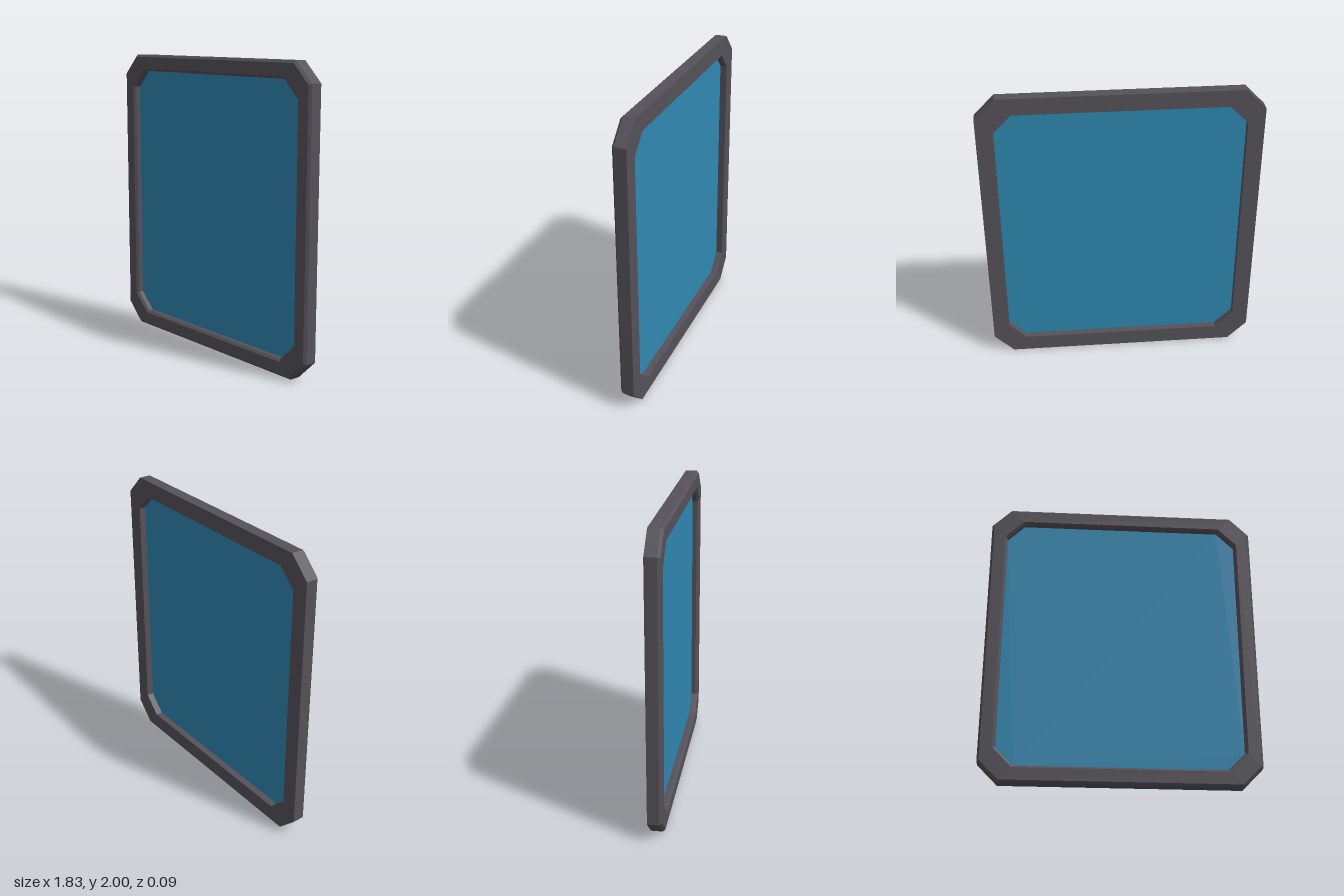
import * as THREE from 'three';

const frameMat = new THREE.MeshStandardMaterial({ color: 0x555159 });
frameMat.name = 'dark grey frame';
const glassMat = new THREE.MeshStandardMaterial({ color: 0x2f88b2, side: THREE.DoubleSide });
glassMat.name = 'blue glass';

// Rectangle with cut corners, counter-clockwise seen from the front
function octagon(hx, hy, cut) {
  const x = hx - cut, y = hy - cut;
  return [[hx, -y], [hx, y], [x, hy], [-x, hy], [-hx, y], [-hx, -y], [-x, -hy], [x, -hy]];
}

// Skins neighbouring rings of a closed section with flat quads
function ringGeometry(section) {
  const rings = section.map(([hx, hy, cut, z]) => octagon(hx, hy, cut).map(([x, y]) => [x, y, z]));
  const positions = [];
  rings.forEach((a, k) => {
    const b = rings[(k + 1) % rings.length];
    for (let i = 0; i < 8; i++) {
      const j = (i + 1) % 8;
      positions.push(...a[i], ...a[j], ...b[j], ...a[i], ...b[j], ...b[i]);
    }
  });
  const geometry = new THREE.BufferGeometry();
  geometry.setAttribute('position', new THREE.Float32BufferAttribute(positions, 3));
  geometry.computeVertexNormals();
  return geometry;
}

export function createModel() {
  const model = new THREE.Group();
  model.name = 'framedWindow';

  // Frame section: half width, half height, corner cut, z
  const frame = new THREE.Mesh(ringGeometry([
    [0.915, 1, 0.132, -0.047],
    [0.915, 1, 0.132, 0.031],
    [0.9, 0.985, 0.124, 0.047],
    [0.82, 0.903, 0.125, 0.047],
    [0.805, 0.888, 0.118, 0.031],
    [0.805, 0.888, 0.118, -0.047],
  ]), frameMat);
  frame.name = 'frame';
  frame.position.y = 1;

  // Single pane set in the middle of the frame's depth
  const outline = octagon(0.805, 0.888, 0.118).map(([x, y]) => new THREE.Vector2(x, y));
  const glass = new THREE.Mesh(new THREE.ShapeGeometry(new THREE.Shape(outline)), glassMat);
  glass.name = 'glassPane';
  glass.position.y = 1;

  model.add(frame, glass);
  return model;
}
